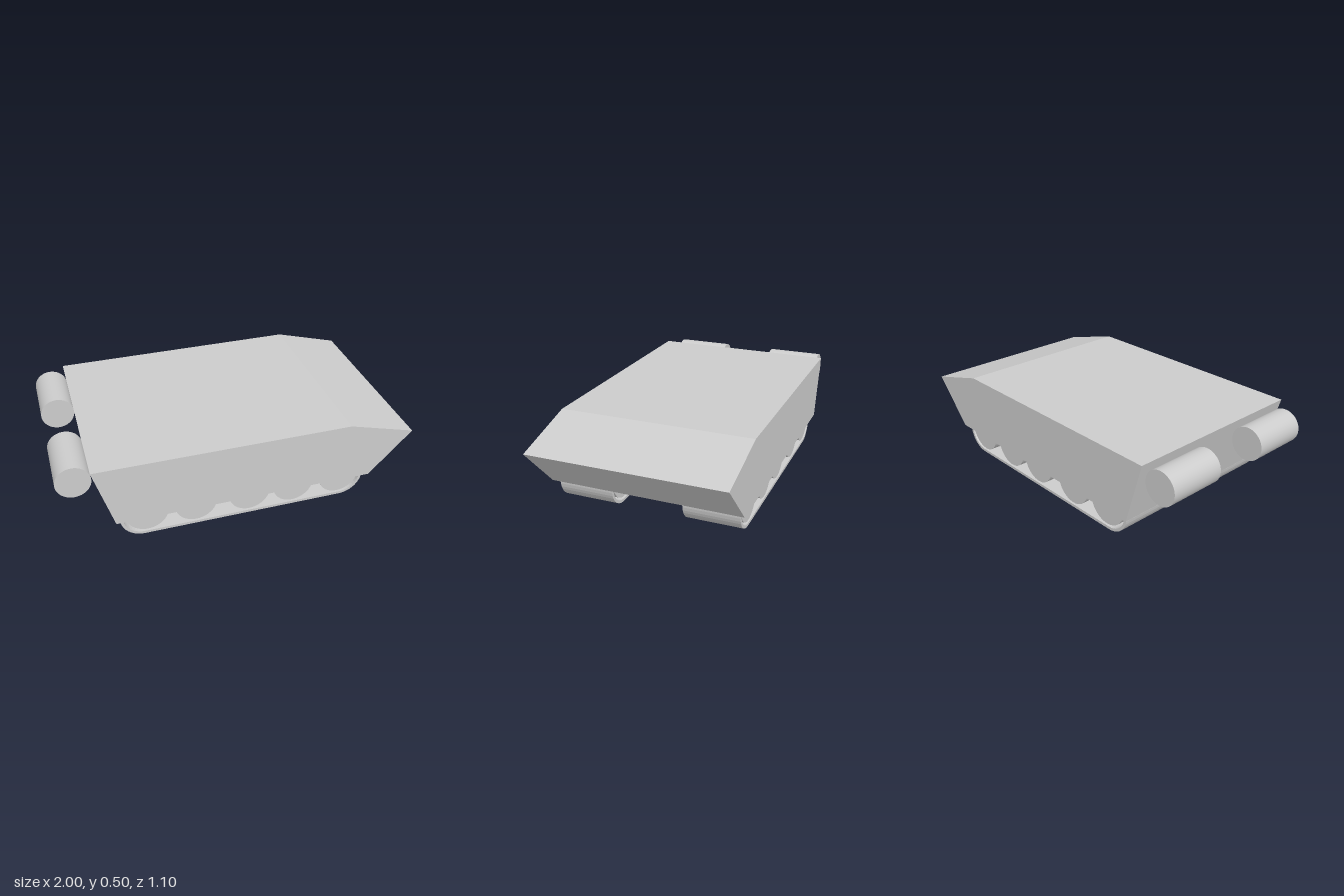
import * as THREE from 'three';

const material = new THREE.MeshStandardMaterial({ color: 0xcccccc });

// Extrudes a side profile (x, y) between two z positions.
function extrudeBetween(name, shape, z0, z1, curveSegments = 8) {
  const geometry = new THREE.ExtrudeGeometry(shape, { depth: z1 - z0, bevelEnabled: false, curveSegments });
  geometry.translate(0, 0, z0);
  const mesh = new THREE.Mesh(geometry, material);
  mesh.name = name;
  return mesh;
}

// Round bar lying along z.
function crossCylinder(name, x, y, radius, z0, z1) {
  const geometry = new THREE.CylinderGeometry(radius, radius, z1 - z0, 48);
  geometry.rotateX(Math.PI / 2);
  const mesh = new THREE.Mesh(geometry, material);
  mesh.position.set(x, y, (z0 + z1) / 2);
  mesh.name = name;
  return mesh;
}

// Loop with rounded ends, traced counter-clockwise.
function trackLoop(path, xBack, xFront, y, radius) {
  path.absarc(xFront, y, radius, -Math.PI / 2, Math.PI / 2, false);
  path.absarc(xBack, y, radius, Math.PI / 2, Math.PI * 1.5, false);
  path.closePath();
  return path;
}

export function createModel() {
  const model = new THREE.Group();
  model.name = 'trackedVehicle';

  // Wedge-nosed hull
  const profile = new THREE.Shape([
    [-0.715, 0.137], [0.755, 0.137], [0.995, 0.395], [0.61, 0.502], [-0.82, 0.502],
  ].map(([x, y]) => new THREE.Vector2(x, y)));
  model.add(extrudeBetween('hull', profile, -0.553, 0.55));

  // Running gear: a track band around five road wheels on each side
  const wheelXs = [-0.54, -0.265, 0.045, 0.305, 0.585];
  for (const [side, z0, z1] of [['left', 0.2, 0.517], ['right', -0.523, -0.207]]) {
    const gear = new THREE.Group();
    gear.name = side + 'RunningGear';
    const band = trackLoop(new THREE.Shape(), -0.56, 0.6, 0.133, 0.131);
    band.holes.push(trackLoop(new THREE.Path(), -0.56, 0.6, 0.133, 0.115));
    const track = extrudeBetween('track', band, z0, z1, 10);
    track.position.y = -0.002 + 0.0;
    gear.add(track);
    wheelXs.forEach((x, i) => {
      gear.add(crossCylinder('roadWheel' + (i + 1), x, 0.145, 0.12, z0 + 0.004, z1 - 0.004));
    });
    model.add(gear);
  }

  // Two drums across the tail
  model.add(crossCylinder('rearDrumLeft', -0.905, 0.402, 0.095, 0.14, 0.47));
  model.add(crossCylinder('rearDrumRight', -0.905, 0.402, 0.095, -0.515, -0.185));

  return model;
}
